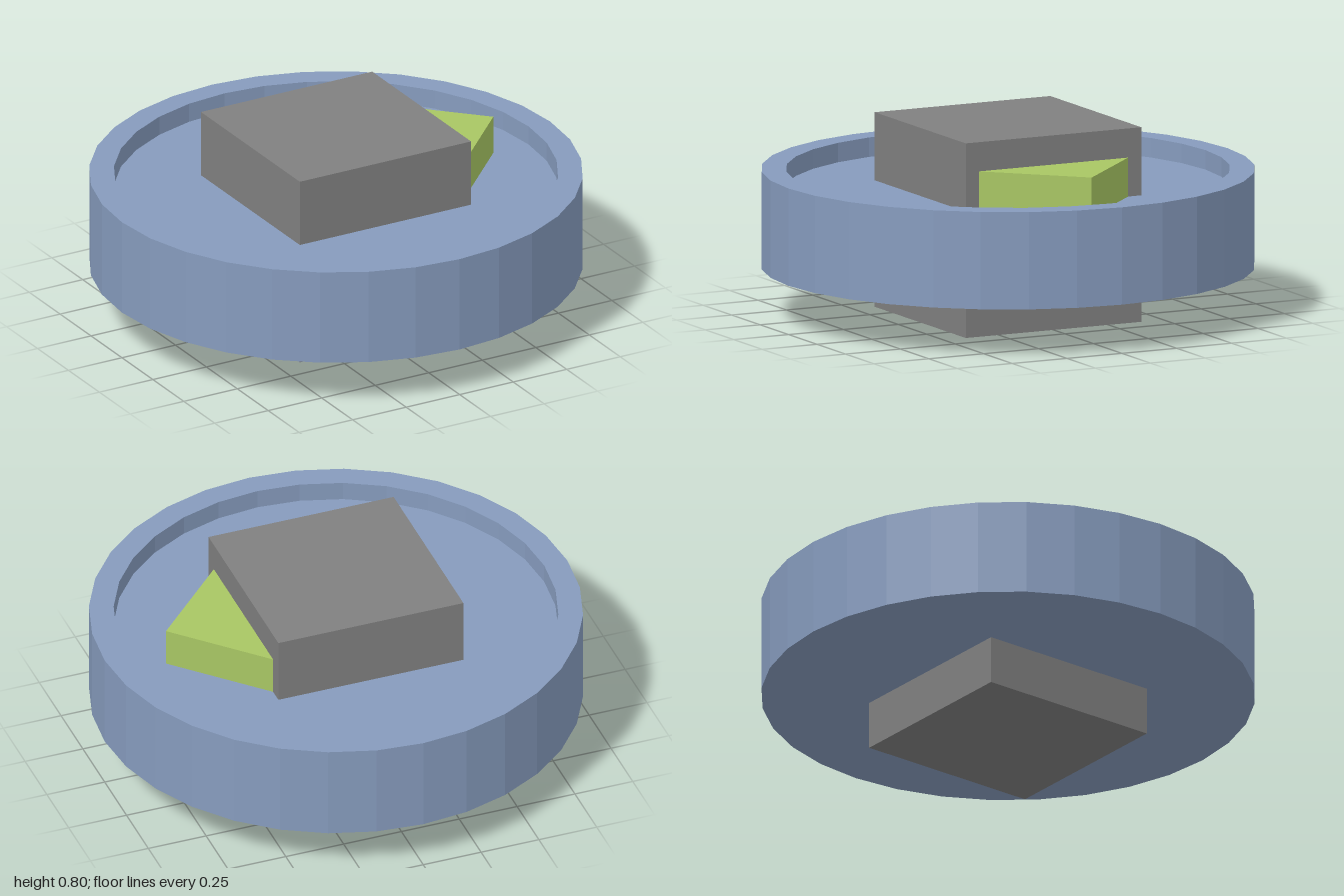
import * as THREE from 'three';

function addPart(group, name, geometry, color) {
  const mesh = new THREE.Mesh(geometry, new THREE.MeshStandardMaterial({ color, flatShading: true }));
  mesh.name = name;
  group.add(mesh);
  return mesh;
}

export function createModel() {
  const group = new THREE.Group();
  group.name = 'dial';

  // Round dish with a raised rim, 32 flat sides
  const profile = [[0, 0.2], [1, 0.2], [1, 0.6], [0.9, 0.6], [0.9, 0.52], [0, 0.52]]
    .map(([r, y]) => new THREE.Vector2(r, y));
  addPart(group, 'dish', new THREE.LatheGeometry(profile, 32), 0x869bbd);

  // Square shaft passing through the dish
  addPart(group, 'shaft', new THREE.BoxGeometry(0.8, 0.8, 0.8), 0x808080).position.y = 0.4;

  // Pointer: a triangular wedge on the dish floor, against the shaft's left side
  const outline = new THREE.Shape([[0.4, -0.34], [0.735, 0], [0.4, 0.34]]
    .map(([x, z]) => new THREE.Vector2(x, z)));
  const wedge = new THREE.ExtrudeGeometry(outline, { depth: 0.16, bevelEnabled: false });
  wedge.rotateX(-Math.PI / 2);
  addPart(group, 'pointer', wedge, 0xa8c663).position.y = 0.52;

  return group;
}
